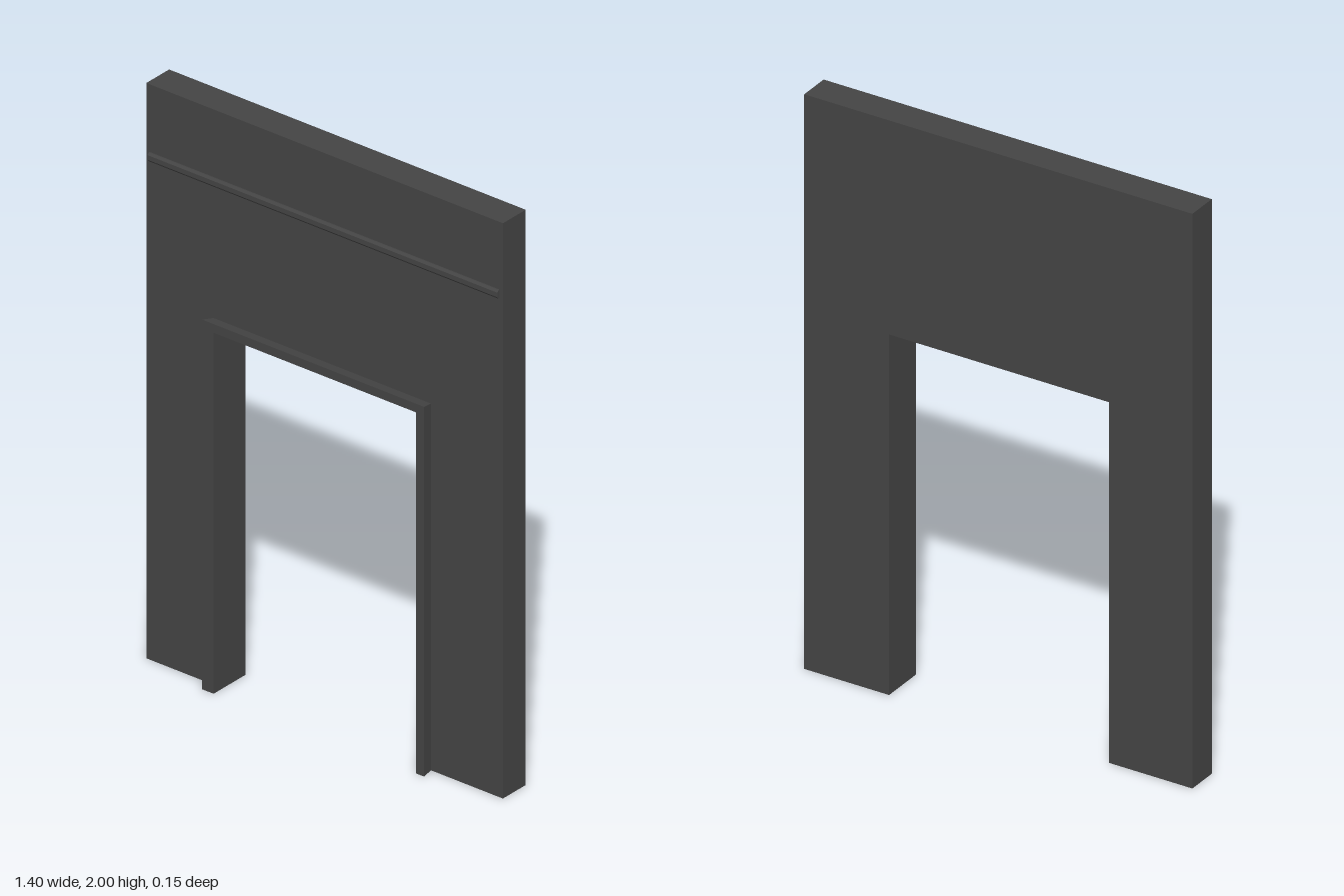
import * as THREE from 'three';

const material = new THREE.MeshStandardMaterial({ color: 0x444444, flatShading: true });

const BACK = -0.077, FACE = 0.033, FRONT = 0.077;
const OPEN = { left: -0.4, right: 0.394, top: 1.255 };

const polygon = (points) => new THREE.Shape(points.map(([x, y]) => new THREE.Vector2(x, y)));

// Upside-down U around the doorway, open at the floor
function arch(left, right, top) {
  return polygon([
    [left, 0], [OPEN.left, 0], [OPEN.left, OPEN.top], [OPEN.right, OPEN.top],
    [OPEN.right, 0], [right, 0], [right, top], [left, top],
  ]);
}

function extrude(shape, z0, z1) {
  const g = new THREE.ExtrudeGeometry(shape, { depth: z1 - z0, bevelEnabled: false });
  return g.translate(0, 0, z0);
}

function part(name, geometry) {
  const mesh = new THREE.Mesh(geometry, material);
  mesh.name = name;
  return mesh;
}

export function createModel() {
  const group = new THREE.Group();
  group.name = 'doorwayWall';

  // Wall slab with the doorway cut out
  group.add(part('wall', extrude(arch(-0.7, 0.7, 2), BACK, FACE)));

  // Door trim, its outer edges flaring toward the front
  const trim = extrude(arch(-0.445, 0.426, 1.285), FACE, FRONT);
  const p = trim.attributes.position;
  for (let i = 0; i < p.count; i++) {
    if (p.getZ(i) > FACE + 0.01) continue;
    if (p.getX(i) < OPEN.left - 0.01) p.setX(i, -0.436);
    if (p.getX(i) > OPEN.right + 0.01) p.setX(i, 0.418);
    if (p.getY(i) > OPEN.top + 0.01) p.setY(i, 1.275);
  }
  trim.computeVertexNormals();
  group.add(part('doorTrim', trim));

  // Thin chamfered moulding across the upper wall
  const profile = polygon([
    [-0.003, -0.015], [0.005, -0.015], [0.01, -0.008],
    [0.01, 0.008], [0.005, 0.015], [-0.003, 0.015],
  ]);
  const moulding = extrude(profile, -0.687, 0.687);
  moulding.rotateY(-Math.PI / 2).translate(0, 1.75, FACE);
  group.add(part('moulding', moulding));

  return group;
}
